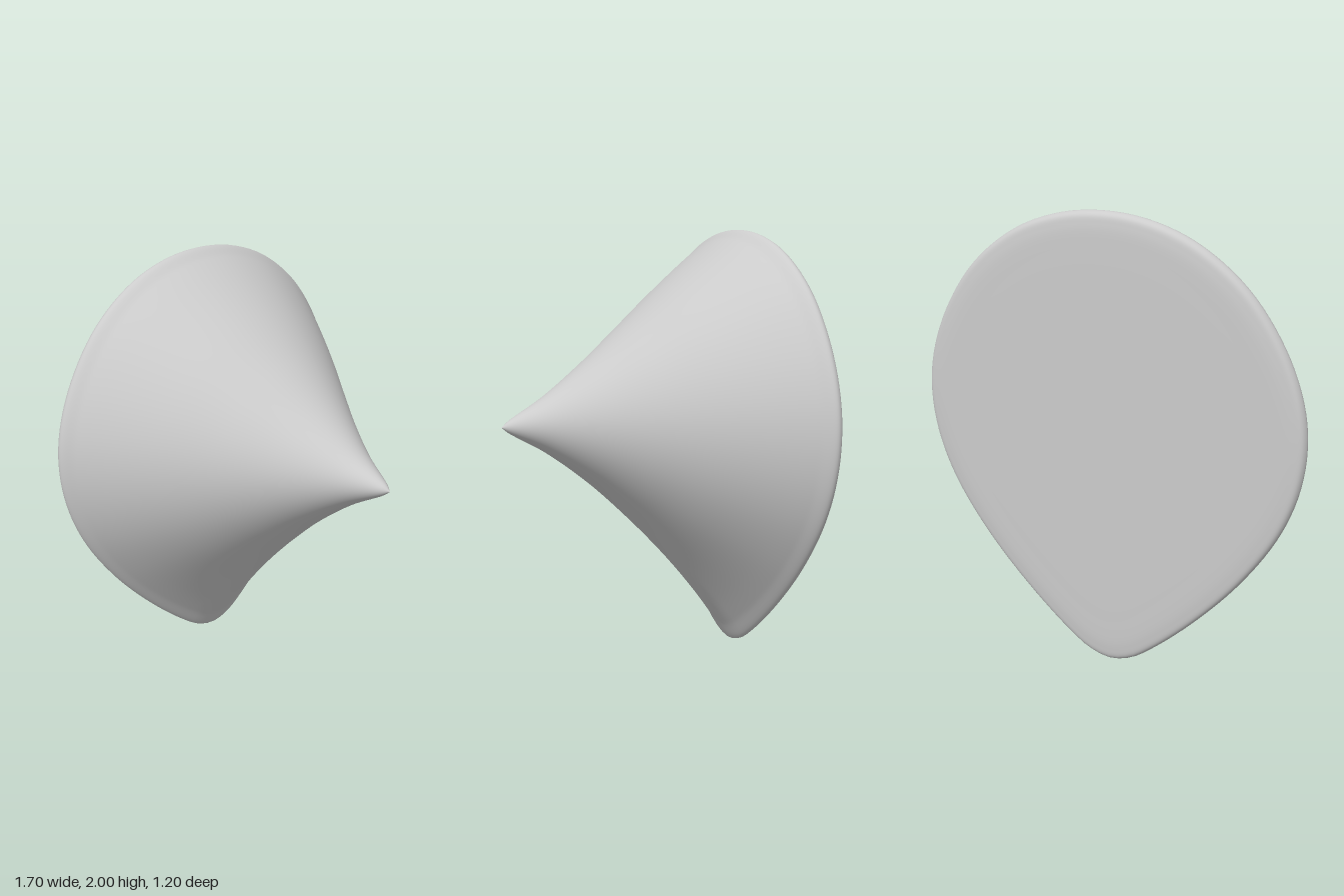
import * as THREE from 'three';

const APEX_Y = 1.15;
const RADIUS = 0.85;
const AROUND = 128;
const ALONG = 120;

// Right half of the teardrop rim, top to bottom; mirrored to close the loop
const HALF_RIM = [
  [0, 2], [0.2, 1.977], [0.4, 1.9], [0.6, 1.745], [0.75, 1.53], [0.83, 1.32], [0.85, 1.14],
  [0.825, 0.95], [0.75, 0.75], [0.6, 0.515], [0.4, 0.285], [0.2, 0.1], [0.1, 0.03], [0, 0.003],
];

// Stations from the tip to the middle of the back:
// z, scale, and roundness of the section (0 = circle, 1 = teardrop)
const STATIONS = [
  [0.6, 0, 0], [0.57, 0.03, 0], [0.4, 0.145, 0.08], [0.2, 0.31, 0.17], [0, 0.495, 0.3],
  [-0.2, 0.685, 0.45], [-0.4, 0.865, 0.7], [-0.5, 0.95, 0.87], [-0.565, 1, 1],
  [-0.588, 0.985, 1], [-0.598, 0.94, 1], [-0.602, 0.8, 1], [-0.602, 0.4, 1], [-0.602, 0, 1],
];

function rimPoints() {
  const left = HALF_RIM.slice(1, -1).reverse().map(([x, y]) => [-x, y]);
  const points = [...HALF_RIM, ...left].map(([x, y]) => new THREE.Vector3(x, y - APEX_Y, 0));
  return new THREE.CatmullRomCurve3(points, true).getSpacedPoints(AROUND).slice(0, AROUND);
}

// Rings that grow from round at the tip to the teardrop rim, then close the back
function loftGeometry() {
  const rim = rimPoints();
  const stations = new THREE.CatmullRomCurve3(
    STATIONS.map((s) => new THREE.Vector3(...s)), false, 'centripetal',
  ).getPoints(ALONG);
  const positions = [];
  const indices = [];

  stations.forEach(({ x: z, y: scale, z: teardrop }) => {
    for (const p of rim) {
      const factor = Math.max(0, scale) * THREE.MathUtils.lerp(RADIUS / p.length(), 1, teardrop);
      positions.push(p.x * factor, APEX_Y + p.y * factor, z);
    }
  });

  for (let i = 0; i < ALONG; i++) {
    for (let j = 0; j < AROUND; j++) {
      const k = (j + 1) % AROUND;
      const a = i * AROUND + j;
      const b = i * AROUND + k;
      const c = a + AROUND;
      const d = b + AROUND;
      // The rim runs clockwise seen from the front
      if (i > 0) indices.push(a, b, c);
      if (i < ALONG - 1) indices.push(b, d, c);
    }
  }

  const geometry = new THREE.BufferGeometry();
  geometry.setAttribute('position', new THREE.Float32BufferAttribute(positions, 3));
  geometry.setIndex(indices);
  geometry.computeVertexNormals();
  return geometry;
}

export function createModel() {
  const group = new THREE.Group();
  group.name = 'teardropCone';

  // Pointed shell with a rounded rim and a flat back
  const shell = new THREE.Mesh(
    loftGeometry(),
    new THREE.MeshStandardMaterial({ color: 0xcccccc, side: THREE.DoubleSide }),
  );
  shell.name = 'coneShell';
  group.add(shell);
  return group;
}
